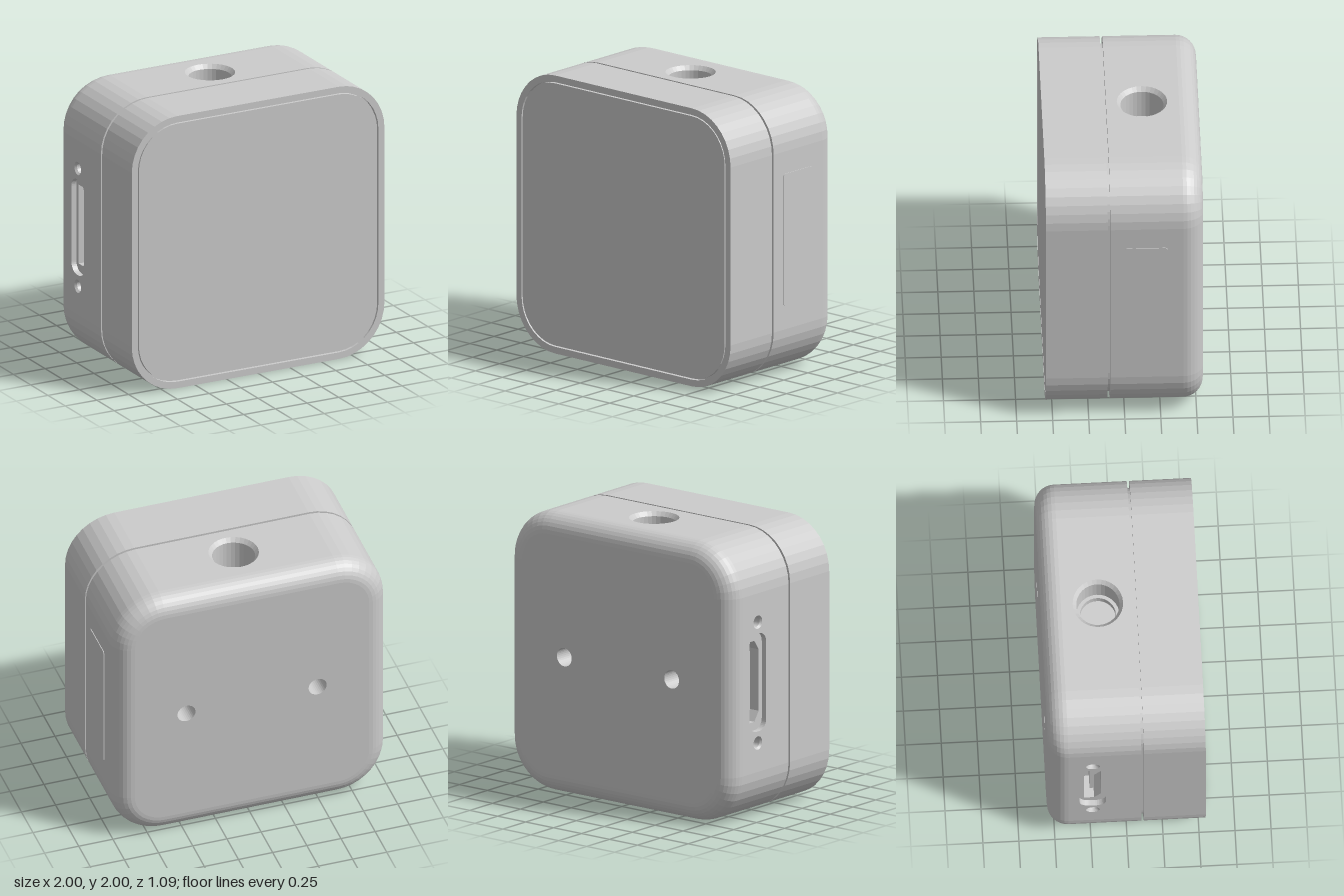
import * as THREE from 'three';

const W = 0.9975, H = 1, D = 0.547;      // half sizes of the body
const R = 0.36, F = 0.14, N = 9;         // corner radius, back fillet, corner segments
const SEAM_BACK = 0.1, SEAM_FRONT = 0.118, SEAM_DEPTH = 0.05;

const grey = new THREE.MeshStandardMaterial({ color: 0xcccccc, flatShading: true });
const greyTwoSided = new THREE.MeshStandardMaterial({ color: 0xcccccc, flatShading: true, side: THREE.DoubleSide });

// Rounded rectangle, counter-clockwise seen from +z
function ring(hw, hh, r, z, n = N) {
  const pts = [];
  for (let c = 0; c < 4; c++) {
    const sx = c === 0 || c === 3 ? 1 : -1, sy = c < 2 ? 1 : -1;
    for (let i = 0; i <= n; i++) {
      const a = (c + i / n) * Math.PI / 2;
      pts.push(new THREE.Vector3(sx * (hw - r) + r * Math.cos(a), sy * (hh - r) + r * Math.sin(a), z));
    }
  }
  return pts;
}
const bodyRing = (inset, z) => ring(W - inset, H - inset, R - inset, z);

// Skin between successive rings; skipped edges stay open
function loft(rings, skip = []) {
  const pos = [];
  for (let k = 0; k < rings.length - 1; k++) {
    const a = rings[k], b = rings[k + 1], n = a.length;
    for (let i = 0; i < n; i++) {
      if (skip.includes(i)) continue;
      const j = (i + 1) % n;
      for (const p of [a[i], a[j], b[j], a[i], b[j], b[i]]) pos.push(p.x, p.y, p.z);
    }
  }
  const g = new THREE.BufferGeometry();
  g.setAttribute('position', new THREE.Float32BufferAttribute(pos, 3));
  g.computeVertexNormals();
  return g;
}

// Flat face facing +z, with optional holes
function face(points, holes = []) {
  const s = new THREE.Shape(points.map(p => new THREE.Vector2(p.x, p.y)));
  s.holes.push(...holes);
  return new THREE.ShapeGeometry(s, 16).translate(0, 0, points[0].z ?? 0);
}
const circle = (x, y, r) => new THREE.Path().absarc(x, y, r, 0, Math.PI * 2, true);
const path = pts => new THREE.Path(pts.map(p => new THREE.Vector2(p.x, p.y)));
const rect = (x0, x1, y0, y1) =>
  [[x0, y0], [x1, y0], [x1, y1], [x0, y1]].map(([x, y]) => new THREE.Vector3(x, y, 0));

function add(parent, name, geometry, material = grey) {
  const m = new THREE.Mesh(geometry, material);
  m.name = name;
  parent.add(m);
  return m;
}

// Round recess opening towards +z; profile is [radius, depth]
function well(parent, name, profile, x, y) {
  const g = new THREE.LatheGeometry(profile.map(([r, d]) => new THREE.Vector2(r, -d)), 32).rotateX(Math.PI / 2);
  add(parent, name, g, greyTwoSided).position.set(x, y, 0);
}

function side(parent, name, position, rx, ry) {
  const g = new THREE.Group();
  g.name = name;
  g.position.set(...position);
  g.rotation.set(rx, ry, 0);
  parent.add(g);
  return g;
}

export function createModel() {
  const model = new THREE.Group();
  model.name = 'squareDevice';
  const body = new THREE.Group();
  body.name = 'body';
  body.position.set(-0.0025, 1, 0);
  model.add(body);

  // Front frame with a fine groove around the screen
  add(body, 'frontFrame', loft([
    bodyRing(SEAM_DEPTH, SEAM_FRONT), bodyRing(0, SEAM_FRONT), bodyRing(0, D),
    bodyRing(0.048, D), bodyRing(0.048, D - 0.03), bodyRing(0.057, D - 0.03),
  ]));
  add(body, 'screenEdge', loft([bodyRing(0.057, D - 0.03), bodyRing(0.057, D - 0.002)]));
  add(body, 'screen', face(bodyRing(0.057, D - 0.002)));

  // Recessed seam between the two halves
  add(body, 'seam', loft([bodyRing(SEAM_DEPTH, SEAM_BACK), bodyRing(SEAM_DEPTH, SEAM_FRONT)]));

  // Back shell: rounded rear edge, then walls left open at the top and right side
  const fillet = [];
  for (let i = 0; i <= 8; i++) {
    const a = i / 8 * Math.PI / 2;
    fillet.push(bodyRing(F * (1 - Math.sin(a)), -D + F * (1 - Math.cos(a))));
  }
  const z0 = -D + F;
  add(body, 'rearFillet', loft(fillet));
  add(body, 'rearWalls', loft([bodyRing(0, z0), bodyRing(0, SEAM_BACK)], [N, 2 * N + 1]));
  add(body, 'rearShellLip', loft([bodyRing(0, SEAM_BACK), bodyRing(SEAM_DEPTH, SEAM_BACK)]));

  // Top wall with the mounting socket
  const top = side(body, 'topSide', [0, H, 0], -Math.PI / 2, 0);
  add(top, 'topWall', face(rect(-W + R, W - R, -SEAM_BACK, -z0), [circle(0, 0.15, 0.175)]));
  well(top, 'mountSocket', [[0.175, 0], [0.15, 0.03], [0.15, 0.24], [0.125, 0.24], [0.125, 0.3], [0, 0.3]], 0, 0.15);

  // Back face with two screw holes
  const back = side(body, 'backSide', [0, 0, -D], 0, Math.PI);
  const holeX = [-0.48, 0.48];
  add(back, 'backFace', face(bodyRing(F, 0), holeX.map(x => circle(x, 0, 0.066))));
  for (const x of holeX) well(back, 'screwHole', [[0.066, 0], [0.066, 0.2], [0, 0.23]], x, 0);

  // Right wall with the connector port and its two locking holes
  const right = side(body, 'rightSide', [-W, 0, 0], 0, -Math.PI / 2);
  const portZ = -0.236, lockY = [-0.433, 0.433];
  const slot = z => ring(0.092, 0.35, 0.075, z);
  const shifted = slot(0).map(p => p.clone().setX(p.x + portZ));
  add(right, 'rightWall', face(rect(z0, SEAM_BACK, -H + R, H - R),
    [path(shifted), ...lockY.map(y => circle(portZ, y, 0.048))]));
  for (const y of lockY) well(right, 'lockingHole', [[0.048, 0], [0.036, 0.015], [0.036, 0.14], [0, 0.14]], portZ, y);

  const port = new THREE.Group();
  port.name = 'port';
  port.position.x = portZ;
  right.add(port);
  // Opening has two bevelled corners on one long side
  const opening = z => [[-0.06, -0.29], [0.01, -0.29], [0.058, -0.22], [0.058, 0.22], [0.01, 0.29], [-0.06, 0.29]]
    .map(([x, y]) => new THREE.Vector3(x, y, z));
  add(port, 'portRecess', loft([slot(0), slot(-0.04)]));
  add(port, 'portLedge', face(slot(-0.04), [path(opening(0))]));
  add(port, 'portWalls', loft([opening(-0.04), opening(-0.2)]));
  add(port, 'portFloor', face(opening(-0.2)));
  add(port, 'portTongue', new THREE.BoxGeometry(0.03, 0.42, 0.12)).position.set(-0.005, 0, -0.14);

  // Thin raised cover on the left side
  const left = side(body, 'leftSide', [W, 0.005, -0.15], 0, Math.PI / 2);
  const cover = z => ring(0.15, 0.475, 0.02, z, 4);
  add(left, 'coverEdge', loft([cover(0), cover(0.005)]));
  add(left, 'cover', face(cover(0.005)));

  return model;
}
